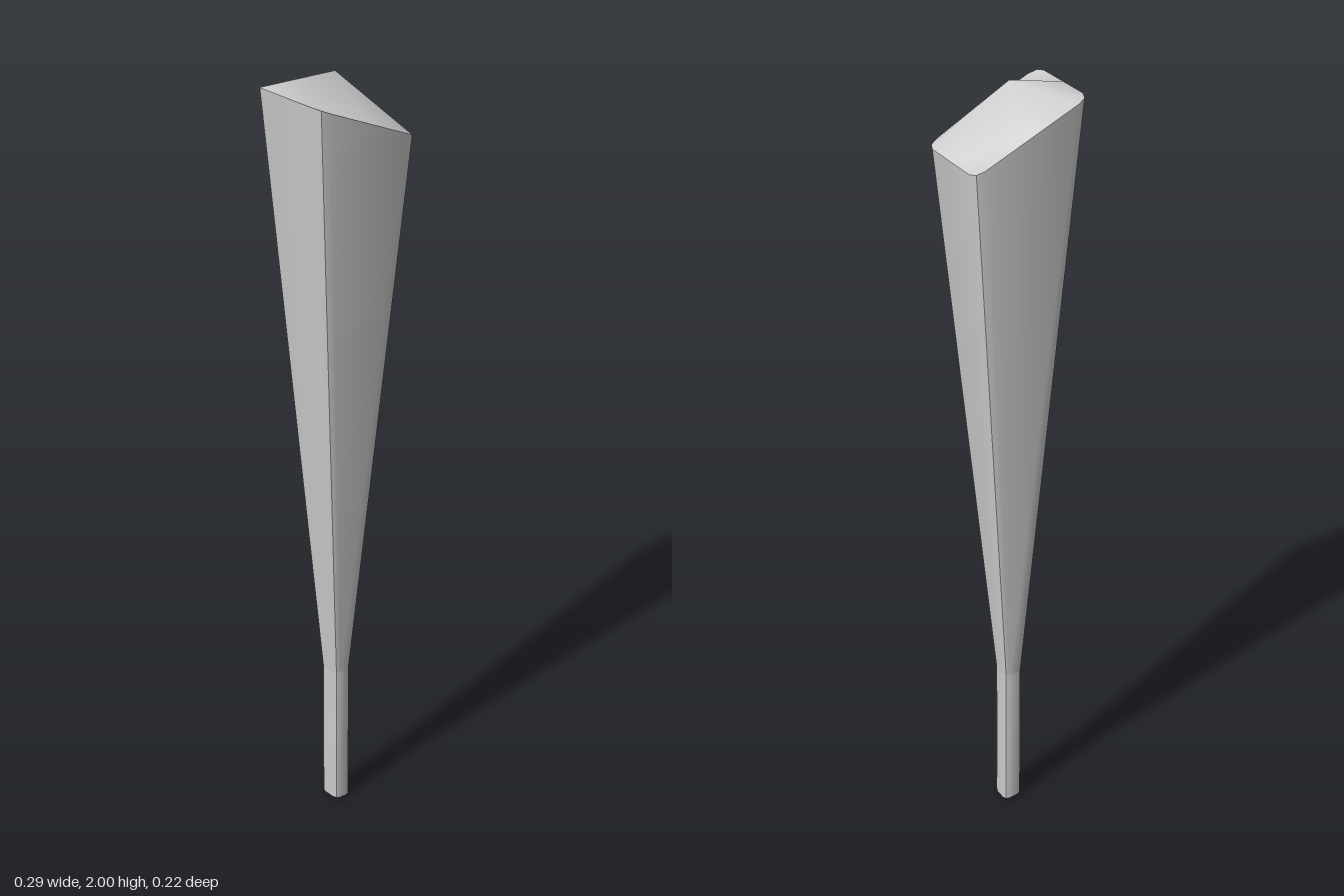
import * as THREE from 'three';
import { toCreasedNormals } from 'three/addons/utils/BufferGeometryUtils.js';

// Rounded rectangle outline lifted to height y(x); three points per corner
function ring(cx, hx, hz, r, y) {
  const signs = [[1, 1], [-1, 1], [-1, -1], [1, -1]];
  const points = [];
  signs.forEach(([sx, sz], k) => {
    for (let j = 0; j < 3; j++) {
      const a = (k + j / 2) * Math.PI / 2;
      const x = cx + sx * (hx - r) + r * Math.cos(a);
      const z = sz * (hz - r) + r * Math.sin(a);
      points.push(new THREE.Vector3(x, y(x), z));
    }
  });
  return points;
}

function geometry(points, index) {
  const g = new THREE.BufferGeometry().setFromPoints(points);
  g.setIndex(index);
  return g;
}

// Skin between two outlines, with an optional floor under the first
function loft(lower, upper, floor) {
  const n = lower.length;
  const index = [];
  for (let i = 0; i < n; i++) {
    const j = (i + 1) % n;
    index.push(i, n + i, j, j, n + i, n + j);
    if (floor && i > 0 && i < n - 1) index.push(0, i, i + 1);
  }
  return toCreasedNormals(geometry([...lower, ...upper], index), 0.6);
}

export function createModel() {
  const group = new THREE.Group();
  const material = new THREE.MeshStandardMaterial({ color: 0xcccccc });
  const add = (name, g) => {
    const mesh = new THREE.Mesh(g, material);
    mesh.name = name;
    group.add(mesh);
  };

  const slant = (x) => 1.905 - 0.45 * x;
  const base = ring(-0.003, 0.025, 0.029, 0.014, (x) => 0.004 - 0.15 * x);
  const neck = ring(-0.003, 0.025, 0.029, 0.014, () => 0.41);
  const rim = ring(0, 0.144, 0.108, 0.025, slant);

  // Slim grip and the flaring body with its slanted rim
  add('handle', loft(base, neck, true));
  add('taperedBody', loft(neck, rim, false));

  // Pointed top: four sectors between the side midpoints and the peak
  const mids = [[0.144, 0], [0, 0.108], [-0.144, 0], [0, -0.108]];
  const points = [];
  mids.forEach(([x, z], k) => {
    points.push(new THREE.Vector3(x, slant(x), z), ...rim.slice(k * 3, k * 3 + 3));
  });
  const peak = points.length;
  points.push(new THREE.Vector3(-0.005, 2, 0));
  const index = [];
  for (let k = 0; k < 4; k++) {
    const start = k * 4;
    const end = (start + 4) % peak;
    const folded = k % 2 === 1; // alternate sectors fold inward
    if (folded) index.push(peak, end, start);
    for (let i = start + (folded ? 1 : 0); i < start + 4; i++) {
      index.push(folded ? start : peak, (i + 1) % peak, i);
    }
  }
  const cap = geometry(points, index);
  cap.computeVertexNormals();
  add('pointedTop', cap);

  return group;
}
